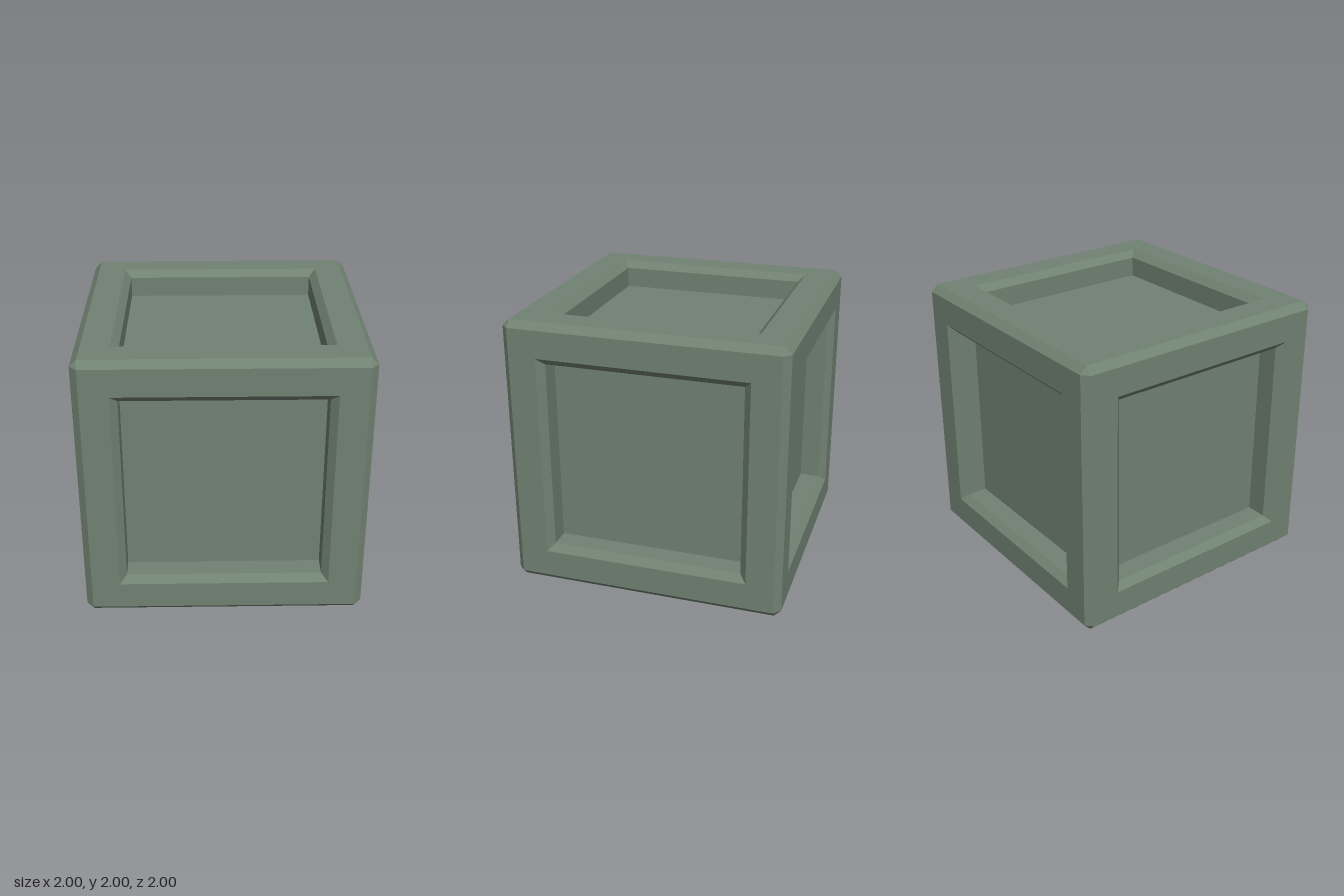
import * as THREE from 'three';

const HALF = 1;        // half the crate size
const BEVEL = 0.05;
const FLAT = HALF - BEVEL;

export function createModel() {
  const model = new THREE.Group();
  model.name = 'crate';
  const material = new THREE.MeshStandardMaterial({ color: 0x708272, flatShading: true });

  const add = (geometry, name) => {
    const flat = geometry.index ? geometry.toNonIndexed() : geometry;
    flat.computeVertexNormals();
    const mesh = new THREE.Mesh(flat, material);
    mesh.name = name;
    mesh.position.y = HALF;
    model.add(mesh);
    return mesh;
  };

  // Square face: flat frame, bevelled lip, straight wall and sunken floor (half width, height)
  const profile = [[FLAT, 1], [0.75, 1], [0.7, 0.95], [0.7, 0.8], [0, 0.8]]
    .map(([w, h]) => new THREE.Vector2(w * Math.SQRT2, h));
  const faces = {
    topPanel: [0, 0], bottomPanel: [Math.PI, 0],
    frontPanel: [Math.PI / 2, 0], backPanel: [-Math.PI / 2, 0],
    leftPanel: [0, -Math.PI / 2], rightPanel: [0, Math.PI / 2],
  };
  for (const [name, [rx, rz]] of Object.entries(faces)) {
    const panel = new THREE.LatheGeometry(profile, 4, Math.PI / 4);
    add(panel.rotateX(rx).rotateZ(rz), name);
  }

  // Bevel strips along the twelve edges, four per axis
  for (const axis of ['X', 'Y', 'Z']) {
    for (let i = 0; i < 4; i++) {
      const strip = new THREE.PlaneGeometry(2 * FLAT, BEVEL * Math.SQRT2);
      strip.translate(0, 0, (HALF - BEVEL / 2) * Math.SQRT2);
      strip.rotateX(Math.PI / 4 + i * Math.PI / 2);
      if (axis === 'Y') strip.rotateZ(Math.PI / 2);
      if (axis === 'Z') strip.rotateY(Math.PI / 2);
      add(strip, `edgeBevel${axis}${i + 1}`);
    }
  }

  // Small triangles closing the eight corners
  for (const x of [-1, 1]) for (const y of [-1, 1]) for (const z of [-1, 1]) {
    const points = [[HALF, FLAT, FLAT], [FLAT, HALF, FLAT], [FLAT, FLAT, HALF]]
      .map(([a, b, c]) => new THREE.Vector3(a * x, b * y, c * z));
    if (x * y * z < 0) points.reverse();
    add(new THREE.BufferGeometry().setFromPoints(points), 'cornerBevel');
  }

  return model;
}
